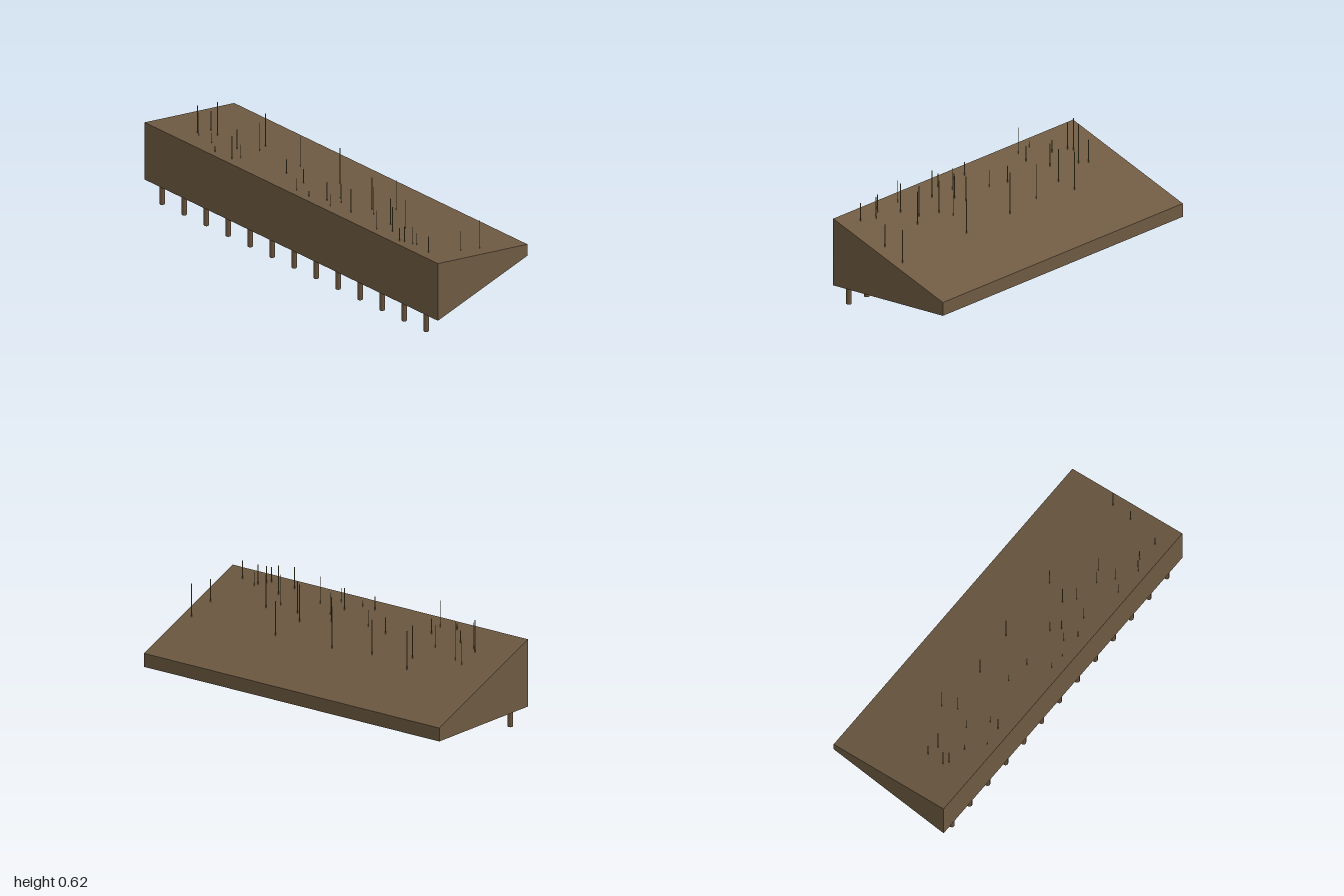
import * as THREE from 'three';

const slopeY = (z) => 0.35 + 0.4 * z; // height of the sloping top at depth z

export function createModel() {
  const model = new THREE.Group();
  const earth = new THREE.MeshStandardMaterial({ color: 0x6e5a42 });
  const wood = new THREE.MeshStandardMaterial({ color: 0x6b563f });
  const straw = new THREE.MeshStandardMaterial({ color: 0x8a7c4e });

  // Sloping bank: side profile (drawn as -z, y) extruded along x
  const profile = new THREE.Shape([
    [-0.375, 0.125], [0.375, 0.125], [0.375, slopeY(-0.375)], [-0.375, slopeY(0.375)],
  ].map(([a, b]) => new THREE.Vector2(a, b)));
  const bankGeo = new THREE.ExtrudeGeometry(profile, { depth: 2, bevelEnabled: false });
  bankGeo.translate(0, 0, -1).rotateY(Math.PI / 2);
  const bank = new THREE.Mesh(bankGeo, earth);
  bank.name = 'bank';
  model.add(bank);

  // Row of posts below the front edge
  const posts = new THREE.Group();
  posts.name = 'posts';
  const postGeo = new THREE.CylinderGeometry(0.015, 0.015, 0.125, 8);
  for (let i = 0; i < 13; i++) {
    const post = new THREE.Mesh(postGeo, wood);
    post.name = 'post';
    post.position.set(-0.9 + i * 0.15, 0.0625, 0.35);
    posts.add(post);
  }
  model.add(posts);

  // Upright reeds scattered on the slope: x, z, tip height
  const reeds = new THREE.Group();
  reeds.name = 'reeds';
  const reedGeo = new THREE.CylinderGeometry(0.0022, 0.0022, 1, 5);
  const spots = [
    [-0.51, -0.036, 0.55], [-0.48, 0.049, 0.553], [-0.24, 0.004, 0.547], [0.01, -0.021, 0.574],
    [0.385, -0.031, 0.53], [0.94, -0.049, 0.516], [-0.78, 0.09, 0.513], [-0.72, 0.109, 0.612],
    [-0.545, 0.16, 0.54], [-0.785, 0.196, 0.608], [-0.76, 0.217, 0.585], [-0.655, 0.236, 0.513],
    [-0.45, 0.246, 0.535], [-0.46, 0.307, 0.622], [-0.565, 0.319, 0.513], [-0.07, 0.186, 0.517],
    [0.157, 0.158, 0.55], [0.33, 0.104, 0.598], [0.15, 0.259, 0.575], [0.315, 0.261, 0.606],
    [0.52, 0.182, 0.594], [0.585, 0.139, 0.59], [0.59, 0.251, 0.611], [-0.015, 0.311, 0.55],
    [0.07, 0.313, 0.51], [0.21, 0.307, 0.55], [0.535, 0.316, 0.598], [0.695, 0.323, 0.563],
    [0.715, 0.304, 0.57], [0.755, 0.284, 0.575], [0.77, 0.27, 0.533], [0.87, 0.295, 0.57],
    [0.92, 0.086, 0.512], [0.385, 0.156, 0.592], [0.2, 0.202, 0.555], [-0.2, 0.168, 0.51],
  ];
  for (const [x, z, tip] of spots) {
    const base = slopeY(z) - 0.005;
    const reed = new THREE.Mesh(reedGeo, straw);
    reed.name = 'reed';
    reed.scale.y = tip - base;
    reed.position.set(x, (tip + base) / 2, z);
    reeds.add(reed);
  }
  model.add(reeds);

  return model;
}
